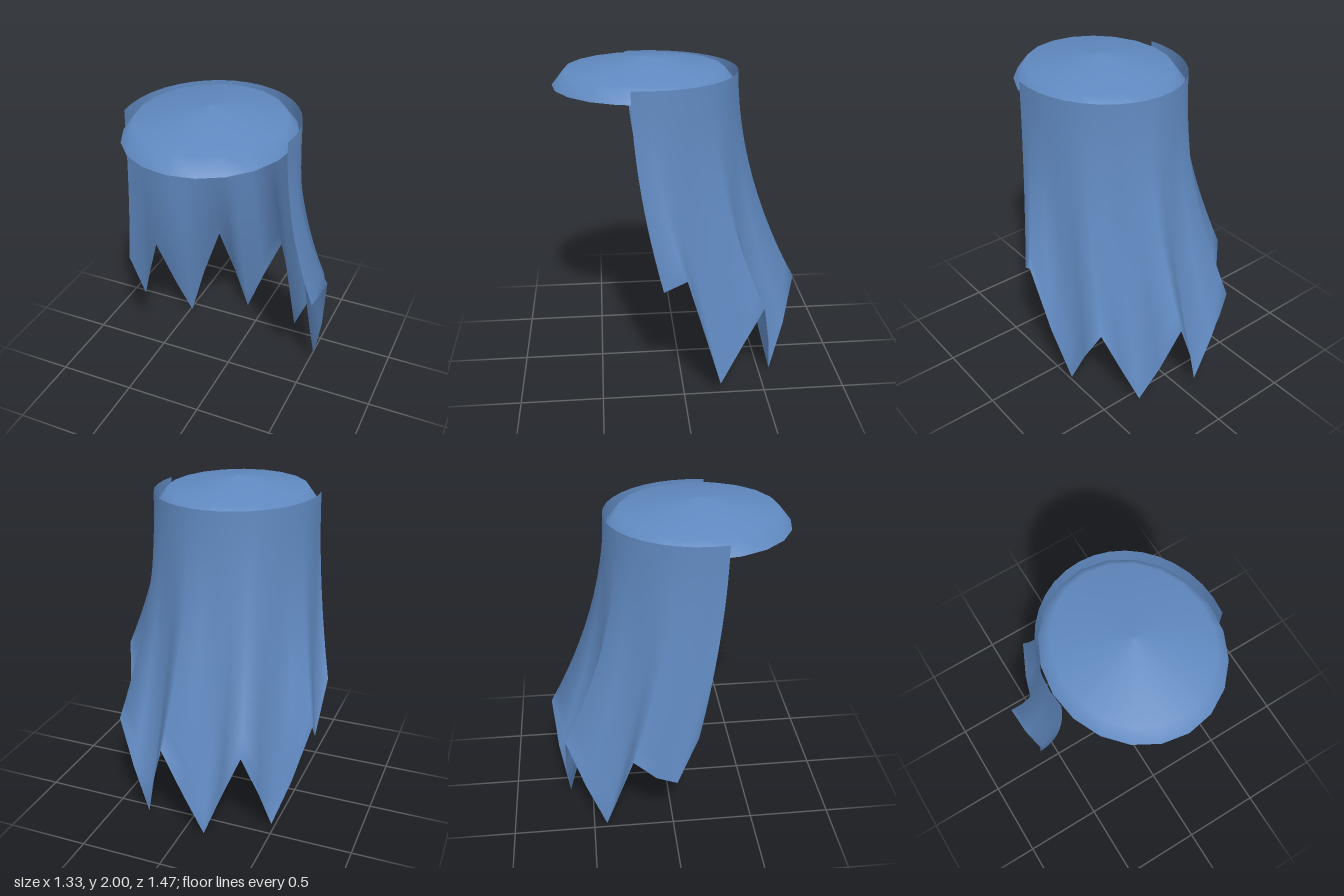
import * as THREE from 'three';

// Hem of the cape, from its left front edge round the back to its right: x, y, z
const HEM = [
  [0.61, 0.78, 0.13], [0.66, 0.87, 0.0], [0.61, 0.45, -0.12], [0.54, 0.09, -0.22],
  [0.53, 0.35, -0.35], [0.5, 0.58, -0.48], [0.39, 0.29, -0.535], [0.275, 0.01, -0.57],
  [0.195, 0.29, -0.665], [0.1, 0.58, -0.735], [-0.02, 0.29, -0.705], [-0.125, 0, -0.645],
  [-0.24, 0.29, -0.66], [-0.36, 0.58, -0.65], [-0.435, 0.29, -0.54], [-0.48, 0.01, -0.42],
  [-0.575, 0.29, -0.35], [-0.665, 0.64, -0.255], [-0.65, 0.5, -0.12], [-0.615, 0.42, 0.01],
  [-0.65, 0.78, 0.13],
];
const CENTRE = { x: -0.02, z: 0.19 };
const ROWS = 12;

// Cloth hanging from an open oval collar, flaring and folding towards the hem
function capeGeometry() {
  const cols = HEM.length, positions = [], index = [];
  for (let r = 0; r <= ROWS; r++) {
    const t = r / ROWS, flare = Math.pow(t, 1.85);
    HEM.forEach(([x, y, z], c) => {
      const a = THREE.MathUtils.degToRad(-10.5 + (201 * c) / (cols - 1));
      const topX = CENTRE.x + 0.497 * Math.cos(a);
      const topZ = CENTRE.z - 0.55 * Math.sin(a);
      positions.push(
        THREE.MathUtils.lerp(topX, x, flare),
        THREE.MathUtils.lerp(1.92, y, t),
        THREE.MathUtils.lerp(topZ, z, flare),
      );
      if (r < ROWS && c < cols - 1) {
        const i = r * cols + c;
        index.push(i, i + cols, i + 1, i + 1, i + cols, i + cols + 1);
      }
    });
  }
  const g = new THREE.BufferGeometry();
  g.setAttribute('position', new THREE.Float32BufferAttribute(positions, 3));
  g.setIndex(index);
  g.computeVertexNormals();
  return g;
}

export function createModel() {
  const group = new THREE.Group();
  const cloth = new THREE.MeshStandardMaterial({ color: 0x6089c0, side: THREE.DoubleSide });
  cloth.name = 'blue cloth';

  const cape = new THREE.Mesh(capeGeometry(), cloth);
  cape.name = 'cape';

  // Shallow oval cover across the shoulders
  const profile = [[0.485, 1.84], [0.42, 1.93], [0, 2]].map(([r, y]) => new THREE.Vector2(r, y));
  const cover = new THREE.Mesh(new THREE.LatheGeometry(profile, 20), cloth);
  cover.name = 'shoulderCover';
  cover.scale.z = 1.115;
  cover.position.set(CENTRE.x, 0, CENTRE.z);

  group.add(cape, cover);
  return group;
}
